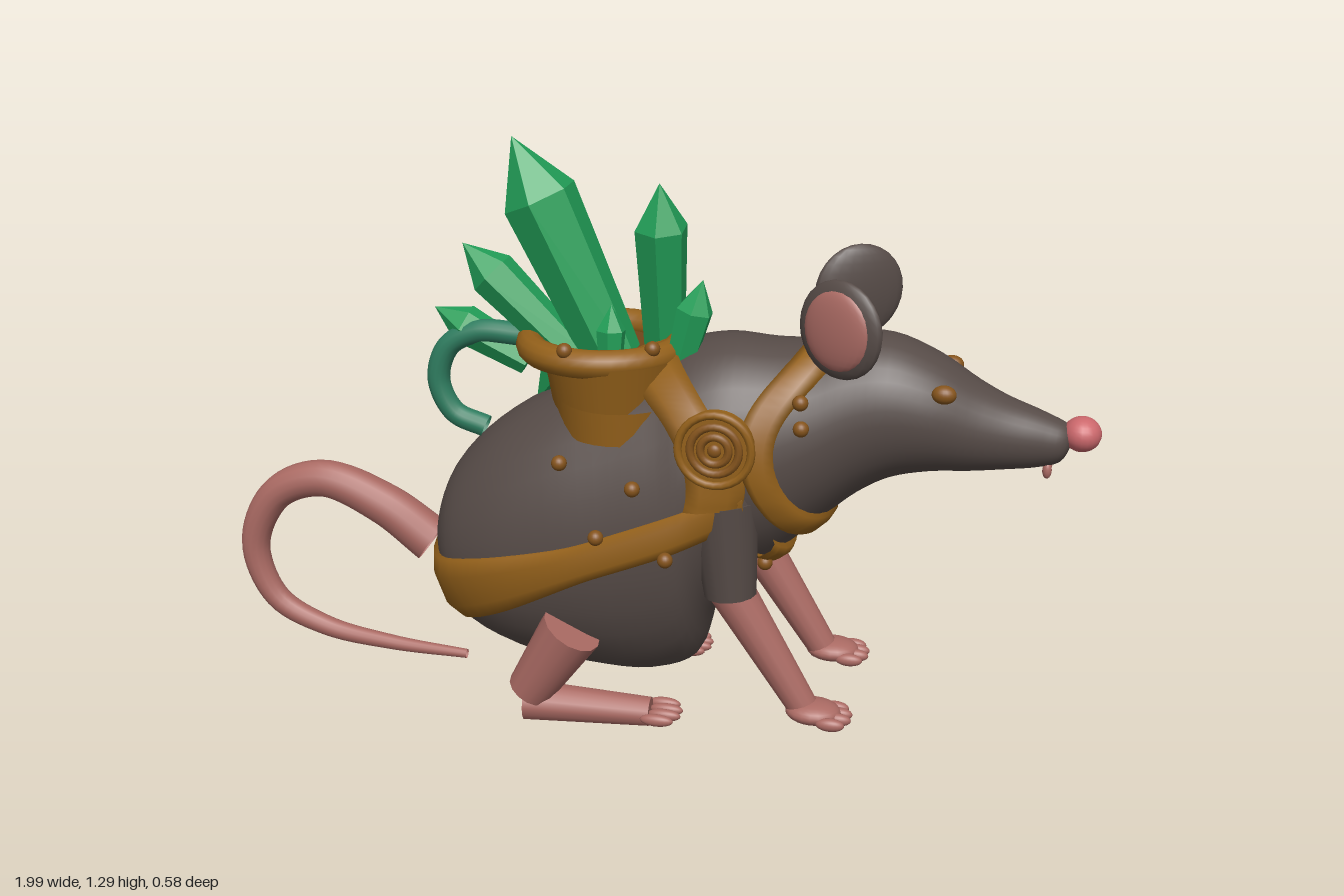
import * as THREE from 'three';

const V = (x, y, z = 0) => new THREE.Vector3(x, y, z);
const mat = (name, color, side = THREE.FrontSide) => {
  const m = new THREE.MeshStandardMaterial({ color, side });
  m.name = name;
  return m;
};

// Surface through rows of points, optionally closed around each row
function grid(rows, closed) {
  const n = rows[0].length, index = [];
  for (let i = 0; i < rows.length - 1; i++) {
    for (let k = 0; k < (closed ? n : n - 1); k++) {
      const a = i * n + k, b = i * n + (k + 1) % n;
      index.push(a, b, a + n, b, b + n, a + n);
    }
  }
  const g = new THREE.BufferGeometry().setFromPoints(rows.flat());
  g.setIndex(index);
  g.computeVertexNormals();
  return g;
}

// Body sections from rump to snout: top x, top y, bottom x, bottom y, half width
const SECTIONS = [
  [-.482, .35, -.48, .34, .005], [-.475, .42, -.45, .26, .08], [-.43, .54, -.40, .17, .165],
  [-.33, .65, -.27, .105, .22], [-.2, .735, -.1, .08, .242], [-.05, .80, .05, .08, .245],
  [.05, .84, .14, .125, .242], [.12, .87, .175, .24, .232], [.2, .885, .24, .35, .215],
  [.3, .88, .32, .40, .195], [.38, .885, .41, .48, .175], [.46, .905, .49, .55, .155],
  [.55, .908, .56, .59, .143], [.65, .87, .64, .61, .125], [.74, .815, .73, .617, .095],
  [.80, .785, .80, .625, .075], [.88, .755, .87, .635, .055], [.93, .73, .915, .65, .038],
  [.938, .70, .938, .69, .004],
];

function bodyGeometry() {
  const top = new THREE.CatmullRomCurve3(SECTIONS.map(s => V(s[0], s[1], s[4])));
  const bottom = new THREE.CatmullRomCurve3(SECTIONS.map(s => V(s[2], s[3], s[4])));
  const rows = [];
  for (let i = 0; i <= 72; i++) {
    const t = top.getPoint(i / 72), b = bottom.getPoint(i / 72), row = [];
    for (let j = 0; j < 32; j++) {
      const a = j / 32 * Math.PI * 2, c = Math.cos(a) / 2;
      row.push(V((t.x + b.x) / 2 + (t.x - b.x) * c, (t.y + b.y) / 2 + (t.y - b.y) * c, t.z * Math.sin(a)));
    }
    rows.push(row);
  }
  return grid(rows, true);
}

// Tube that tapers from r0 to r1
function taperedTube(points, r0, r1, segments = 48) {
  const curve = new THREE.CatmullRomCurve3(points);
  const g = new THREE.TubeGeometry(curve, segments, 1, 14);
  const p = g.attributes.position, v = V(0, 0);
  for (let i = 0; i < p.count; i++) {
    const t = Math.floor(i / 15) / segments, c = curve.getPointAt(t);
    v.fromBufferAttribute(p, i).sub(c).multiplyScalar(r0 + (r1 - r0) * t).add(c);
    p.setXYZ(i, v.x, v.y, v.z);
  }
  return g;
}

export function createModel() {
  const root = new THREE.Group();
  root.name = 'crystalPackRat';
  const fur = mat('fur', 0x564b47), skin = mat('skin', 0xaa6a63, THREE.DoubleSide);
  const nosePink = mat('nosePink', 0xcc686c), leather = mat('leather', 0x93601a, THREE.DoubleSide);
  const darkLeather = mat('darkLeather', 0x71461a), crystal = mat('crystal', 0x229f58);
  const teal = mat('teal', 0x2f7d60, THREE.DoubleSide), bronze = mat('bronze', 0x85541c);
  crystal.flatShading = true;

  const add = (name, g, m, p = V(0, 0), parent = root) => {
    const mesh = new THREE.Mesh(g, m);
    mesh.name = name;
    mesh.position.copy(p);
    parent.add(mesh);
    return mesh;
  };
  const ball = (name, p, sx, sy, sz, m, parent) => {
    const b = add(name, new THREE.SphereGeometry(1, 20, 14), m, p, parent);
    b.scale.set(sx, sy, sz);
    return b;
  };
  const limb = (name, a, b, ra, rb, m, sides = 14) => {
    const l = add(name, new THREE.CylinderGeometry(rb, ra, a.distanceTo(b), sides), m, a.clone().lerp(b, .5));
    l.quaternion.setFromUnitVectors(V(0, 1), b.clone().sub(a).normalize());
    return l;
  };

  const bodyG = bodyGeometry();
  add('body', bodyG, fur);

  // Straps hug the body: rays cast outward from a centre find the surface
  const probe = new THREE.Mesh(bodyG, new THREE.MeshBasicMaterial({ side: THREE.BackSide }));
  const ray = new THREE.Raycaster();
  const PROFILE = [[-1, -.02], [-1, .012], [-.5, .021], [.5, .021], [1, .012], [1, -.02]];
  function strap(name, c, tilt, from, to, width, bend = 0) {
    const u = V(Math.cos(tilt), Math.sin(tilt)), n = V(-u.y, u.x), rows = [];
    let reach = .2;
    for (let i = 0; i <= 64; i++) {
      const a = from + (to - from) * i / 64;
      const dir = u.clone().multiplyScalar(Math.cos(a)).add(V(0, 0, Math.sin(a)));
      rows.push(PROFILE.map(([v, off]) => {
        const o = c.clone().addScaledVector(n, v * width(a) + bend * Math.sin(a) ** 2);
        ray.set(o, dir);
        const hit = ray.intersectObject(probe)[0];
        if (hit) reach = hit.distance;
        return o.addScaledVector(dir, reach + off);
      }));
    }
    add(name, grid(rows, false), leather);
  }
  const PI = Math.PI;
  strap('rumpStrap', V(-.05, .43), .39, .55, 2 * PI - .55, a => .04 + .045 * Math.max(0, -Math.cos(a)) ** 2);
  strap('neckStrap', V(.42, .69), PI / 2, 0, 2 * PI, a => .036 + .012 * Math.cos(a), .13);
  strap('girthStrap', V(.02, .6), PI / 2, -1.75, 1.75, () => .06, -.19);
  strap('chestStrap', V(.2, .6), -1.0, -.62, .62, () => .028);

  // Basket on the back
  const CX = -.085;
  const skirt = add('basketSide', new THREE.CylinderGeometry(.165, .135, .17, 32, 1, true), leather, V(CX + .03, .755));
  skirt.scale.z = 1.15;
  const band = add('basketBand', new THREE.CylinderGeometry(.155, .15, .075, 32, 1, true), leather, V(CX + .05, .71));
  band.scale.z = 1.3;
  const rim = add('basketRim', new THREE.TorusGeometry(.165, .032, 12, 40), leather, V(CX, .845));
  rim.rotation.x = PI / 2;
  add('basketFloor', new THREE.CylinderGeometry(.16, .16, .02, 32), darkLeather, V(CX, .825));

  // Crystals: base, tip, radius
  [
    [V(-.05, .78), V(-.29, 1.295), .085], [V(.04, .78, -.06), V(.04, 1.21, .01), .06],
    [V(-.14, .8, .01), V(-.405, 1.055, .01), .055], [V(-.27, .78, -.03), V(-.485, .895, -.02), .045],
    [V(.09, .8, .05), V(.145, 1.015, .05), .042], [V(-.05, .8, .09), V(-.05, .955, .08), .033],
    [V(-.13, .84, -.02), V(-.25, .69, -.02), .05],
  ].forEach(([a, b, r]) => {
    const len = a.distanceTo(b);
    const profile = [[0, 0], [r * .75, 0], [r, len - r * 1.7], [0, len]].map(p => new THREE.Vector2(...p));
    const g = new THREE.LatheGeometry(profile, 6).toNonIndexed();
    g.computeVertexNormals();
    add('crystal', g, crystal, a).quaternion.setFromUnitVectors(V(0, 1), b.clone().sub(a).normalize());
  });

  // Hook behind the basket, and the tail
  add('hook', taperedTube([V(-.365, .625), V(-.44, .655), V(-.475, .73), V(-.45, .81), V(-.38, .85), V(-.27, .85)], .026, .026), teal);
  add('tail', taperedTube([V(-.505, .33), V(-.62, .41), V(-.77, .462), V(-.89, .415), V(-.955, .28),
    V(-.91, .145), V(-.79, .08), V(-.62, .052), V(-.43, .042)], .055, .011, 64), skin);

  // Nose
  ball('nose', V(.957, .714), .041, .038, .043, nosePink);

  for (const s of [1, -1]) {
    const side = s > 0 ? 'left' : 'right';
    ball(side + 'Eye', V(.67, .815, .108 * s), .026, .02, .02, bronze);
    ball(side + 'Tooth', V(.89, .632, .018 * s), .01, .018, .01, skin);

    // Ear with a pink outer face
    const ear = new THREE.Group();
    ear.name = side + 'Ear';
    ear.position.set(.455, .955, .155 * s);
    ear.rotation.y = -.5 * s;
    root.add(ear);
    ball('earShell', V(0, 0), .104, .106, .027, fur, ear);
    ball('earInner', V(0, 0, .013 * s), .082, .086, .021, skin, ear);

    // Front leg and paw
    ball(side + 'Shoulder', V(.215, .56, .145 * s), .085, .14, .075, fur);
    limb(side + 'UpperArm', V(.215, .56, .155 * s), V(.235, .34, .158 * s), .078, .058, fur);
    limb(side + 'Forearm', V(.225, .36, .15 * s), V(.405, .075, .155 * s), .052, .034, skin);
    ball(side + 'FrontPaw', V(.425, .075, .16 * s), .062, .026, .05, skin);
    // Hind leg and foot
    limb(side + 'HindShin', V(-.11, .245, .215 * s), V(-.215, .075, .2 * s), .07, .052, skin);
    limb(side + 'HindFoot', V(-.225, .045, .195 * s), V(.06, .04, .18 * s), .05, .036, skin).scale.x = .9;
    for (let i = 0; i < 4; i++) {
      const o = (i - 1.5) * .028;
      ball(side + 'FrontToe', V(.485 - Math.abs(o) * .4, .068, (.162 + o) * s), .032, .015, .014, skin);
      ball(side + 'HindToe', V(.1 - Math.abs(o) * .4, .042, (.18 + o) * s), .038, .014, .013, skin);
    }

    // Round clasp with raised rings
    const clasp = new THREE.Group();
    clasp.name = side + 'Clasp';
    clasp.position.set(.215, .71, .25 * s);
    root.add(clasp);
    add('claspDisc', new THREE.CylinderGeometry(.08, .08, .034, 28), leather, V(0, 0), clasp).rotation.x = PI / 2;
    for (const r of [.078, .052, .03]) add('claspRing', new THREE.TorusGeometry(r, .009, 8, 28), r === .078 ? leather : bronze, V(0, 0, .017 * s), clasp);
    ball('claspStud', V(0, 0, .017 * s), .015, .015, .01, bronze, clasp);

    // Rivets
    for (const [x, y, z] of [[.04, .61, .27], [-.04, .492, .272], [.11, .45, .262], [-.13, .64, .23],
      [.38, .8, .185], [.385, .748, .2], [-.13, .875, .175], [.05, .875, .12], [.3, .395, .1]]) {
      ball(side + 'Rivet', V(x, y, z * s), .017, .017, .017, bronze);
    }
  }
  return root;
}
